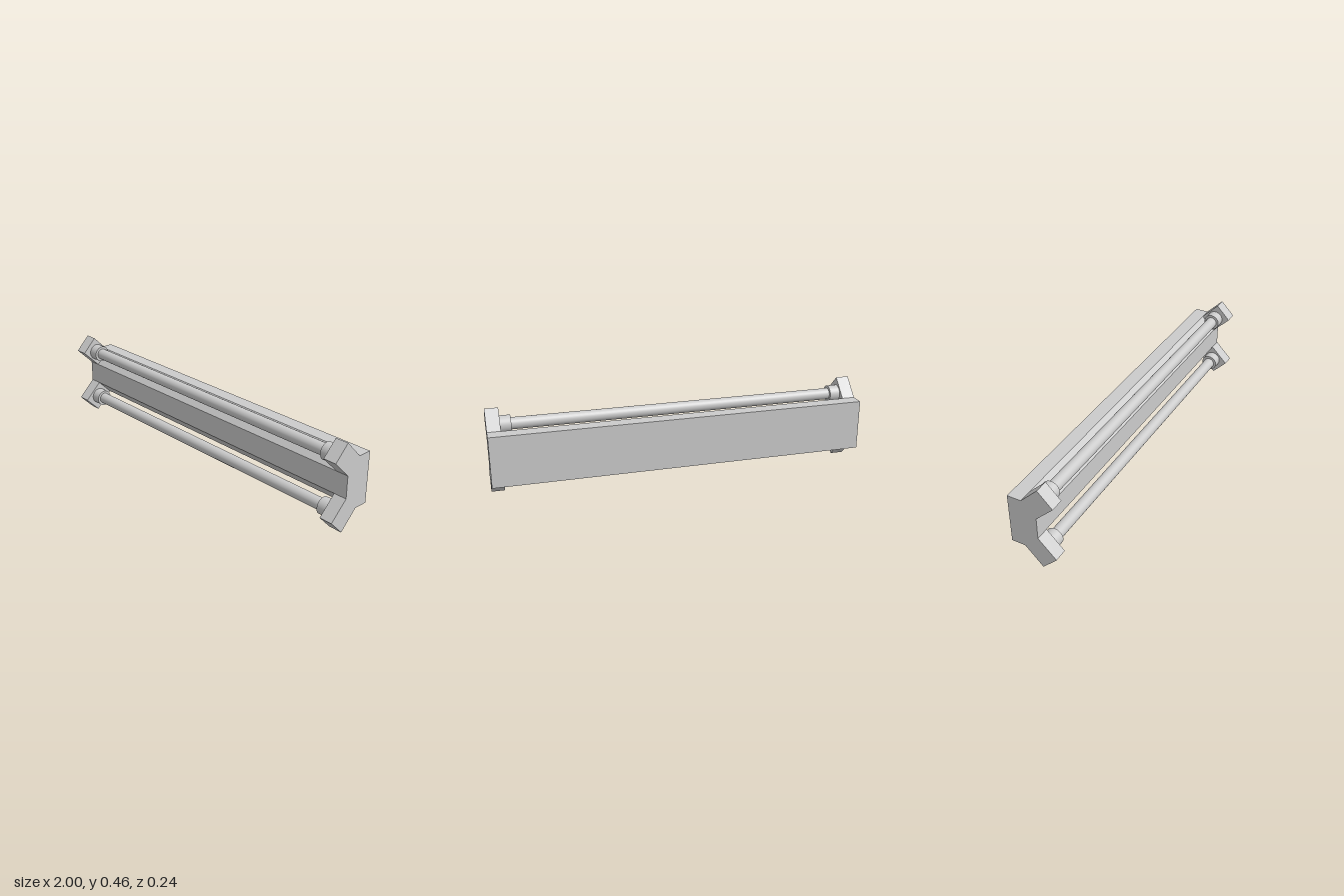
import * as THREE from 'three';

const MID = 0.231; // height of the mirror plane between the two tubes

// Extrude a (z, y) outline along x, from x0 to x1
function extrudeX(points, x0, x1) {
  const shape = new THREE.Shape(points.map(([z, y]) => new THREE.Vector2(-z, y)));
  const g = new THREE.ExtrudeGeometry(shape, { depth: x1 - x0, bevelEnabled: false });
  g.rotateY(Math.PI / 2);
  g.translate(x0, 0, 0);
  return g;
}

// Complete an upper half outline by mirroring it about MID
const mirrored = (half) => [...half, ...half.map(([z, y]) => [z, 2 * MID - y]).reverse()];

export function createModel() {
  const model = new THREE.Group();
  const grey = new THREE.MeshStandardMaterial({ color: 0xcccccc });
  const add = (name, geometry) => {
    const mesh = new THREE.Mesh(geometry, grey);
    mesh.name = name;
    model.add(mesh);
    return mesh;
  };

  // Long housing with sloped front shoulders
  const housing = mirrored([[-0.122, 0.367], [-0.048, 0.367], [0.028, 0.29]]);
  add('housing', extrudeX(housing, -0.93, 0.93));

  // End plates with two diagonal arms
  const plate = mirrored([
    [-0.122, 0.367], [-0.048, 0.367], [0.045, 0.461], [0.122, 0.383], [0.028, 0.29],
  ]);
  add('leftEndPlate', extrudeX(plate, 0.93, 1));
  add('rightEndPlate', extrudeX(plate, -1, -0.93));

  // Tubes and their sockets
  for (const [label, v] of [['upper', 1], ['lower', -1]]) {
    const y = MID + v * 0.143, z = 0.034;
    const tube = new THREE.CylinderGeometry(0.031, 0.031, 1.86, 32).rotateZ(Math.PI / 2);
    add(label + 'Tube', tube).position.set(0, y, z);
    for (const [side, s] of [['Left', 1], ['Right', -1]]) {
      const socket = new THREE.CylinderGeometry(0.045, 0.045, 0.06, 32).rotateZ(Math.PI / 2);
      add(label + side + 'Socket', socket).position.set(s * 0.904, y, z);
    }
  }
  return model;
}
